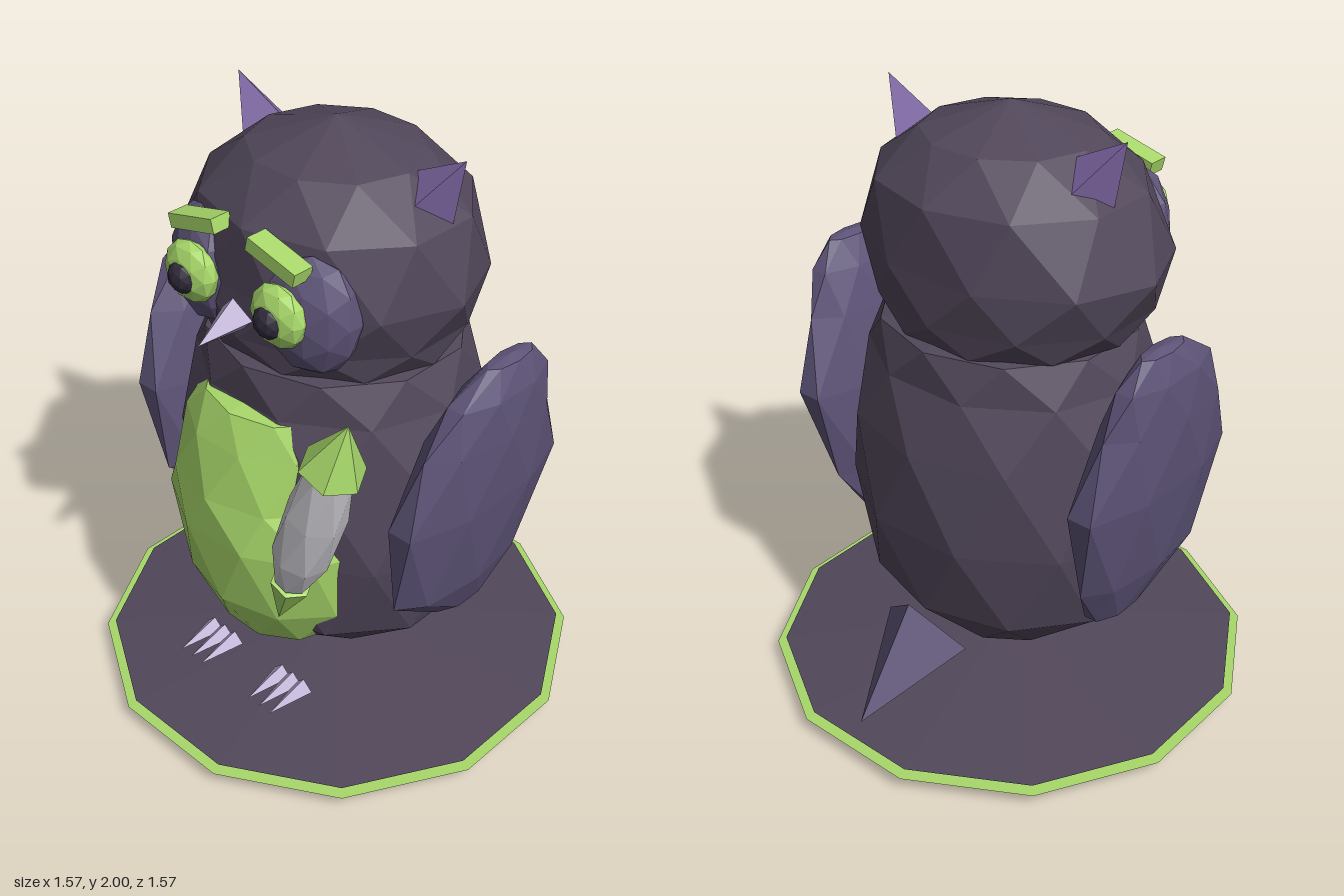
import * as THREE from 'three';

const paint = (name, color, flatShading = true) => {
  const m = new THREE.MeshStandardMaterial({ color, flatShading });
  m.name = name;
  return m;
};

// Closed faceted skin over elliptical rings [y, rx, rz, cx, cz], each turned half a step
function ringSkin(rows, n) {
  const pos = [], index = [];
  rows.forEach(([y, rx, rz, cx = 0, cz = 0], k) => {
    for (let i = 0; i < n; i++) {
      const a = ((i + k / 2) * Math.PI * 2) / n;
      pos.push(cx + rx * Math.sin(a), y, cz + rz * Math.cos(a));
    }
  });
  for (let k = 0; k < rows.length - 1; k++) {
    for (let i = 0; i < n; i++) {
      const a = k * n + i, a2 = k * n + ((i + 1) % n), b = a + n, b2 = a2 + n;
      if (rows[k][1] > 0) index.push(a, a2, b);
      if (rows[k + 1][1] > 0) index.push(b, a2, b2);
    }
  }
  const g = new THREE.BufferGeometry();
  g.setAttribute('position', new THREE.Float32BufferAttribute(pos, 3));
  g.setIndex(index);
  const flat = g.toNonIndexed();
  flat.computeVertexNormals();
  return flat;
}

export function createModel() {
  const model = new THREE.Group();
  model.name = 'owl';

  const plum = paint('dark plum', 0x51475a);
  const violet = paint('wing violet', 0x5e5478);
  const lilac = paint('ear lilac', 0x7e66a3);
  const pale = paint('pale lilac', 0xb5a8cc);
  const green = paint('leaf green', 0xa8d86a);
  const grey = paint('light grey', 0xc8c6cc);
  const black = paint('pupil dark', 0x302a3a);

  const add = (name, geometry, material, parent = model) => {
    const m = new THREE.Mesh(geometry, material);
    m.name = name;
    parent.add(m);
    return m;
  };
  const blob = (name, material, p, s, detail = 1) => {
    const m = add(name, new THREE.IcosahedronGeometry(1, detail), material);
    m.position.set(...p);
    m.scale.set(...s);
    return m;
  };
  // Four-sided spike from a base centre to a tip
  const spike = (name, material, base, tip, r) => {
    const b = new THREE.Vector3(...base), t = new THREE.Vector3(...tip);
    const dir = t.clone().sub(b);
    const m = add(name, new THREE.ConeGeometry(r, dir.length(), 4), material);
    m.position.copy(b).add(t).multiplyScalar(0.5);
    m.quaternion.setFromUnitVectors(new THREE.Vector3(0, 1, 0), dir.normalize());
    return m;
  };

  // Stand: a shallow double cone with a green rim disc below it
  const turn = Math.PI / 12;
  add('standTop', new THREE.LatheGeometry(
    [[0, 0], [0.784, 0.065], [0, 0.13]].map(p => new THREE.Vector2(...p)), 12, turn), plum);
  add('standRim', new THREE.LatheGeometry(
    [[0, 0.0096], [0.813, 0.05], [0, 0.06]].map(p => new THREE.Vector2(...p)), 12, turn), green);

  // Body, belly and head
  add('body', ringSkin([
    [0.13, 0, 0], [0.2, 0.26, 0.25], [0.4, 0.48, 0.43], [0.7, 0.54, 0.49],
    [1.0, 0.52, 0.48], [1.2, 0.47, 0.42], [1.33, 0.42, 0.4], [1.4, 0, 0],
  ], 10), plum);
  add('belly', ringSkin([
    [0.26, 0, 0, 0, 0.32], [0.33, 0.23, 0.2, 0, 0.25], [0.5, 0.34, 0.28, 0, 0.25],
    [0.75, 0.4, 0.31, -0.01, 0.25], [0.9, 0.34, 0.3, -0.03, 0.25],
    [1.08, 0.3, 0.26, -0.02, 0.25], [1.19, 0.25, 0.21, 0, 0.25], [1.22, 0, 0, 0, 0.25],
  ], 10), green);
  add('head', ringSkin([
    [1.3, 0, 0, -0.02], [1.33, 0.41, 0.37, -0.01], [1.42, 0.46, 0.4, -0.02],
    [1.57, 0.52, 0.41, -0.02], [1.78, 0.44, 0.385, 0], [1.91, 0.28, 0.26, 0], [2, 0, 0],
  ], 10), plum);

  for (const s of [1, -1]) {
    const side = s > 0 ? 'left' : 'right';

    // Wing, leaning outward at the top
    add(side + 'Wing', ringSkin([
      [0.42, 0, 0, 0.46, -0.08], [0.45, 0.06, 0.13, 0.48, -0.06], [0.62, 0.09, 0.29, 0.52, 0],
      [0.95, 0.11, 0.37, 0.56, -0.02], [1.2, 0.1, 0.28, 0.59, -0.02],
      [1.34, 0.075, 0.21, 0.61, -0.04], [1.425, 0.035, 0.1, 0.62, -0.07], [1.435, 0, 0, 0.62, -0.08],
    ].map(([y, rx, rz, cx, cz]) => [y, rx, rz, cx * s, cz]), 8), violet);

    // Ear, face patch, eye, pupil and brow
    spike(side + 'Ear', lilac, [0.33 * s, 1.83, -0.04], [0.45 * s, 1.99, -0.04], 0.1);
    blob(side + 'FacePatch', violet, [0.225 * s, 1.57, 0.33], [0.15, 0.19, 0.09]).rotation.y = 0.4 * s;
    blob(side + 'Eye', green, [0.18 * s, 1.59, 0.42], [0.1, 0.1, 0.055]);
    blob(side + 'Pupil', black, [0.178 * s, 1.585, 0.455], [0.052, 0.052, 0.042]);
    const brow = add(side + 'Brow', new THREE.BoxGeometry(0.19, 0.045, 0.07), green);
    brow.position.set(0.16 * s, 1.755, 0.395);
    brow.rotation.z = -0.25 * s;

    // Three toes per foot
    for (const x of [0.115, 0.165, 0.215]) {
      spike(side + 'Toe', pale, [x * s, 0.145, 0.38], [x * s, 0.14, 0.54], 0.036);
    }
  }

  spike('beak', pale, [0, 1.515, 0.41], [0, 1.475, 0.565], 0.062);
  spike('tail', violet, [0, 0.315, -0.42], [0, 0.13, -0.74], 0.166);

  // Held spindle: grey shaft with green points, leaning outward
  const wand = new THREE.Group();
  wand.name = 'spindle';
  wand.position.set(0.31, 0.65, 0.575);
  wand.rotation.z = -0.323;
  add('spindleFoot', ringSkin([[0, 0, 0], [0.19, 0.065, 0.065], [0.21, 0, 0]], 6), green, wand);
  add('spindleShaft', ringSkin([
    [0.18, 0, 0], [0.2, 0.055, 0.055], [0.33, 0.088, 0.088],
    [0.52, 0.092, 0.092], [0.7, 0.07, 0.07], [0.72, 0, 0],
  ], 7), grey, wand);
  add('spindleCap', ringSkin([[0.7, 0, 0], [0.715, 0.098, 0.098], [0.897, 0, 0]], 6), green, wand);
  model.add(wand);

  return model;
}
